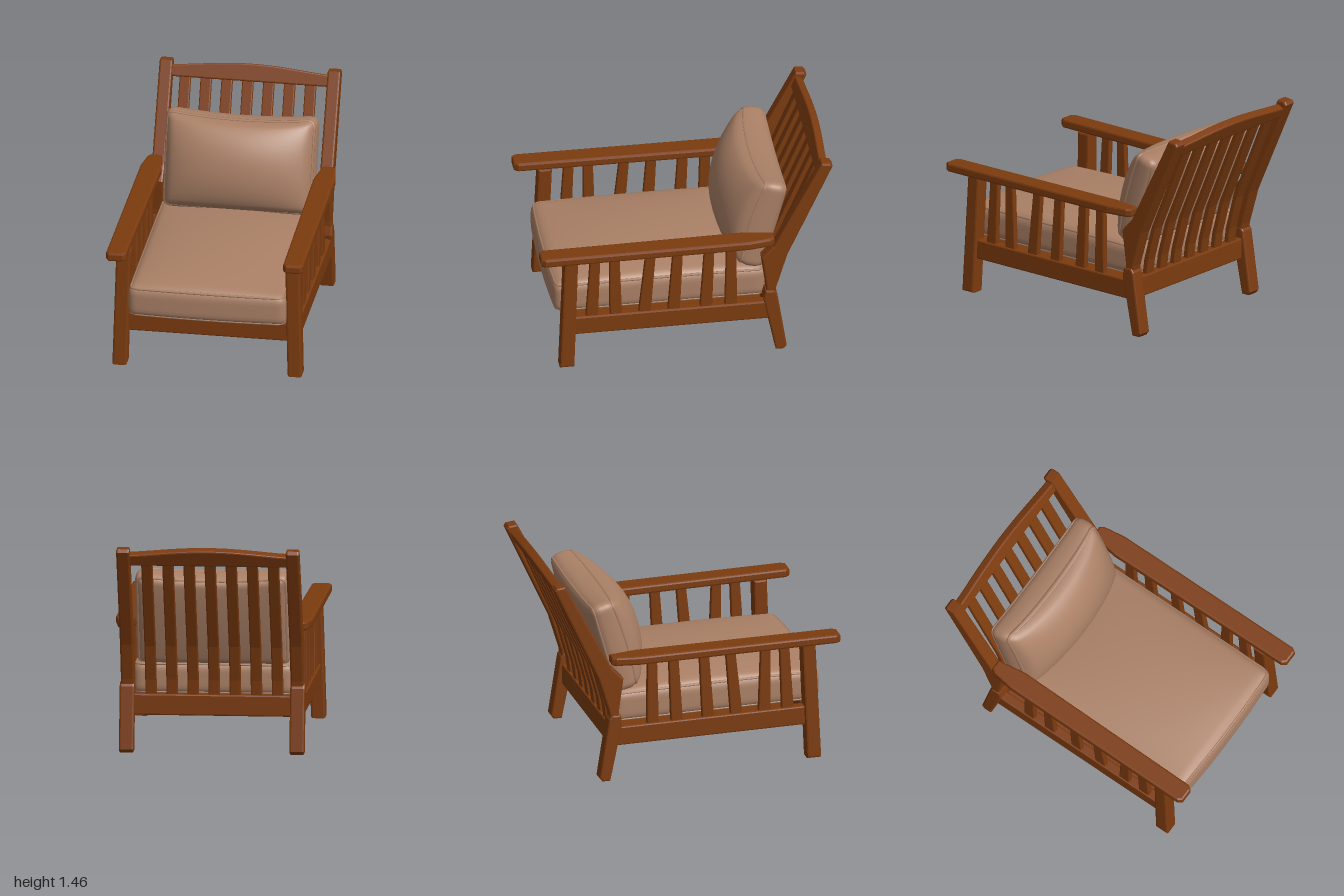
import * as THREE from 'three';
import { mergeVertices } from 'three/addons/utils/BufferGeometryUtils.js';

const wood = new THREE.MeshStandardMaterial({ color: 0x7c3b0f });
wood.name = 'brown wood';
const fabric = new THREE.MeshStandardMaterial({ color: 0xaa8066 });
fabric.name = 'tan fabric';

// Extrude a 2D outline by a full thickness, centred, with softened edges
function slab(points, thickness, bevel = 0.01) {
  const shape = new THREE.Shape(points.map(([a, b]) => new THREE.Vector2(a, b)));
  const depth = thickness - 2 * bevel;
  const geo = new THREE.ExtrudeGeometry(shape, {
    depth, bevelThickness: bevel, bevelSize: bevel, bevelOffset: -bevel, bevelSegments: 2,
  });
  return geo.translate(0, 0, -depth / 2);
}

// Outline given as [z, y], extruded across x
const sideSlab = (points, width, bevel) => slab(points, width, bevel).rotateY(-Math.PI / 2);

const rect = (a0, a1, b0, b1) => [[a0, b0], [a1, b0], [a1, b1], [a0, b1]];

// Box with rounded edges and domed faces (thickness along y), plus piping on both seams
function cushion(name, { w, t, d, r, top, bottom, power, bow, bowSide }) {
  const half = new THREE.Vector3(w / 2, t / 2, d / 2);
  const inner = half.clone().subScalar(r);
  const deform = (p) => {
    const u = Math.min(1, Math.abs(p.x) / half.x);
    const v = THREE.MathUtils.clamp(p.z / half.z, -1, 1);
    const dome = Math.pow((1 - u * u) * (1 - v * v), power);
    const f = THREE.MathUtils.clamp(p.y / half.y, -1, 1);
    p.y += dome * (f > 0 ? top * f : bottom * f);
    p.z += bow * (1 - u * u) * Math.max(0, bowSide * v);
  };
  const apply = (geo, round) => {
    const pos = geo.attributes.position;
    const p = new THREE.Vector3(), c = new THREE.Vector3();
    for (let i = 0; i < pos.count; i++) {
      p.fromBufferAttribute(pos, i);
      if (round) {
        c.copy(p).clamp(inner.clone().negate(), inner);
        p.sub(c).setLength(r).add(c);
      }
      deform(p);
      pos.setXYZ(i, p.x, p.y, p.z);
    }
    geo.deleteAttribute('uv');
    geo.deleteAttribute('normal');
    const merged = mergeVertices(geo);
    merged.computeVertexNormals();
    return merged;
  };
  const group = new THREE.Group();
  group.name = name;
  const body = new THREE.Mesh(apply(new THREE.BoxGeometry(w, t, d, 50, 10, 50), true), fabric);
  body.name = name + 'Body';
  group.add(body);

  const a = half.x - r * 0.3, b = half.z - r * 0.3, k = r * 0.7;
  const ring = new THREE.Shape();
  ring.absarc(a - k, b - k, k, 0, Math.PI / 2);
  ring.absarc(k - a, b - k, k, Math.PI / 2, Math.PI);
  ring.absarc(k - a, k - b, k, Math.PI, Math.PI * 1.5);
  ring.absarc(a - k, k - b, k, Math.PI * 1.5, Math.PI * 2);
  ring.closePath();
  const outline = ring.getSpacedPoints(120).slice(0, -1);
  for (const s of [-1, 1]) {
    const path = new THREE.CatmullRomCurve3(
      outline.map((q) => new THREE.Vector3(q.x, s * (half.y - r * 0.3), q.y)), true);
    const pipe = new THREE.Mesh(apply(new THREE.TubeGeometry(path, 160, 0.008, 6, true), false), fabric);
    pipe.name = name + 'Piping';
    group.add(pipe);
  }
  return group;
}

export function createModel() {
  const model = new THREE.Group();
  model.name = 'armchair';
  const add = (name, geo, x = 0, y = 0, z = 0) => {
    const mesh = new THREE.Mesh(geo, wood);
    mesh.name = name;
    mesh.position.set(x, y, z);
    model.add(mesh);
    return mesh;
  };

  for (const s of [1, -1]) {
    const side = s > 0 ? 'left' : 'right';

    // Front leg, splayed slightly outward toward the floor
    const leg = sideSlab([[0.77, 0.015], [0.87, 0.015], [0.835, 0.85], [0.74, 0.85]], 0.1, 0.014);
    const pos = leg.attributes.position;
    for (let i = 0; i < pos.count; i++) {
      pos.setX(i, pos.getX(i) + s * (0.6 - 0.022 * pos.getY(i) / 0.85));
    }
    leg.computeVertexNormals();
    add(side + 'FrontLeg', leg);

    // Raked rear leg and the back post above it
    add(side + 'RearLeg', sideSlab([[-0.61, 0.005], [-0.665, 0.005], [-0.685, 0.03],
      [-0.62, 0.45], [-0.6, 0.48], [-0.54, 0.48], [-0.525, 0.42]], 0.1, 0.012), s * 0.578);
    add(side + 'BackPost', sideSlab([[-0.55, 0.4], [-0.6, 0.4], [-0.615, 0.5], [-0.69, 0.75],
      [-1, 1.43], [-0.985, 1.452], [-0.925, 1.458], [-0.6, 0.83], [-0.515, 0.74], [-0.545, 0.52]],
    0.09, 0.012), s * 0.575);

    // Armrest, narrowing toward the rear
    const arm = [[0.56, -1], [0.655, -1], [0.675, -0.97], [0.668, 0.42], [0.645, 0.57],
      [0.625, 0.6], [0.55, 0.6], [0.52, 0.4], [0.537, -0.97]].map(([x, y]) => [s * x, y]);
    add(side + 'Armrest', slab(arm, 0.062, 0.014).rotateX(-Math.PI / 2), 0, 0.875);

    // Side rail and its upright slats: [z at bottom, z at top]
    add(side + 'SideRail', sideSlab(rect(-0.59, 0.79, 0.255, 0.39), 0.07), s * 0.583);
    const slats = [[0.645, 0.62], [0.48, 0.49], [0.285, 0.24], [0.085, 0.055],
      [-0.135, -0.16], [-0.305, -0.31]];
    for (const [b, t] of slats) {
      add(side + 'SideSlat', sideSlab([[b - 0.042, 0.37], [b + 0.042, 0.37],
        [t + 0.034, 0.86], [t - 0.034, 0.86]], 0.04, 0.008), s * 0.588);
    }
  }

  // Seat frame
  add('frontRail', slab(rect(-0.56, 0.56, 0.255, 0.39), 0.07), 0, 0, 0.785);
  add('backRail', slab(rect(-0.56, 0.56, 0.255, 0.4), 0.07), 0, 0, -0.575);
  add('seatBase', new THREE.BoxGeometry(1.12, 0.03, 1.36), 0, 0.272, 0.1);

  // Arched top rail, leaning with the posts
  const crest = [[-0.545, -0.055], [0.545, -0.055]];
  for (let i = 0; i <= 16; i++) {
    const u = 1 - i / 8;
    crest.push([u * 0.545, 0.025 + 0.04 * Math.pow(Math.cos(u * Math.PI / 2), 1.3)]);
  }
  add('topRail', slab(crest, 0.06), 0, 1.394, -0.94).rotation.x = -0.43;

  // Back slats, gently bent near the seat
  const line = [[-0.57, 0.34], [-0.59, 0.5], [-0.655, 0.74], [-0.78, 1.03], [-0.925, 1.37]];
  const bent = [...line.map(([z, y]) => [z + 0.018, y]),
    ...line.slice().reverse().map(([z, y]) => [z - 0.022, y])];
  for (let i = -3; i <= 3; i++) {
    add('backSlat', sideSlab(bent, 0.076, 0.008), -0.012 + i * 0.143);
  }

  // Cushions
  const seat = cushion('seatCushion', { w: 1.085, t: 0.22, d: 1.45, r: 0.055,
    top: 0.075, bottom: 0, power: 0.7, bow: 0.02, bowSide: 1 });
  seat.position.set(0, 0.498, 0.165);
  model.add(seat);

  const back = cushion('backCushion', { w: 1.04, t: 0.15, d: 0.68, r: 0.06,
    top: 0.2, bottom: 0.03, power: 0.5, bow: 0.03, bowSide: -1 });
  back.position.set(0, 0.925, -0.55);
  back.rotation.x = Math.PI / 2 - 0.28;
  model.add(back);

  return model;
}
